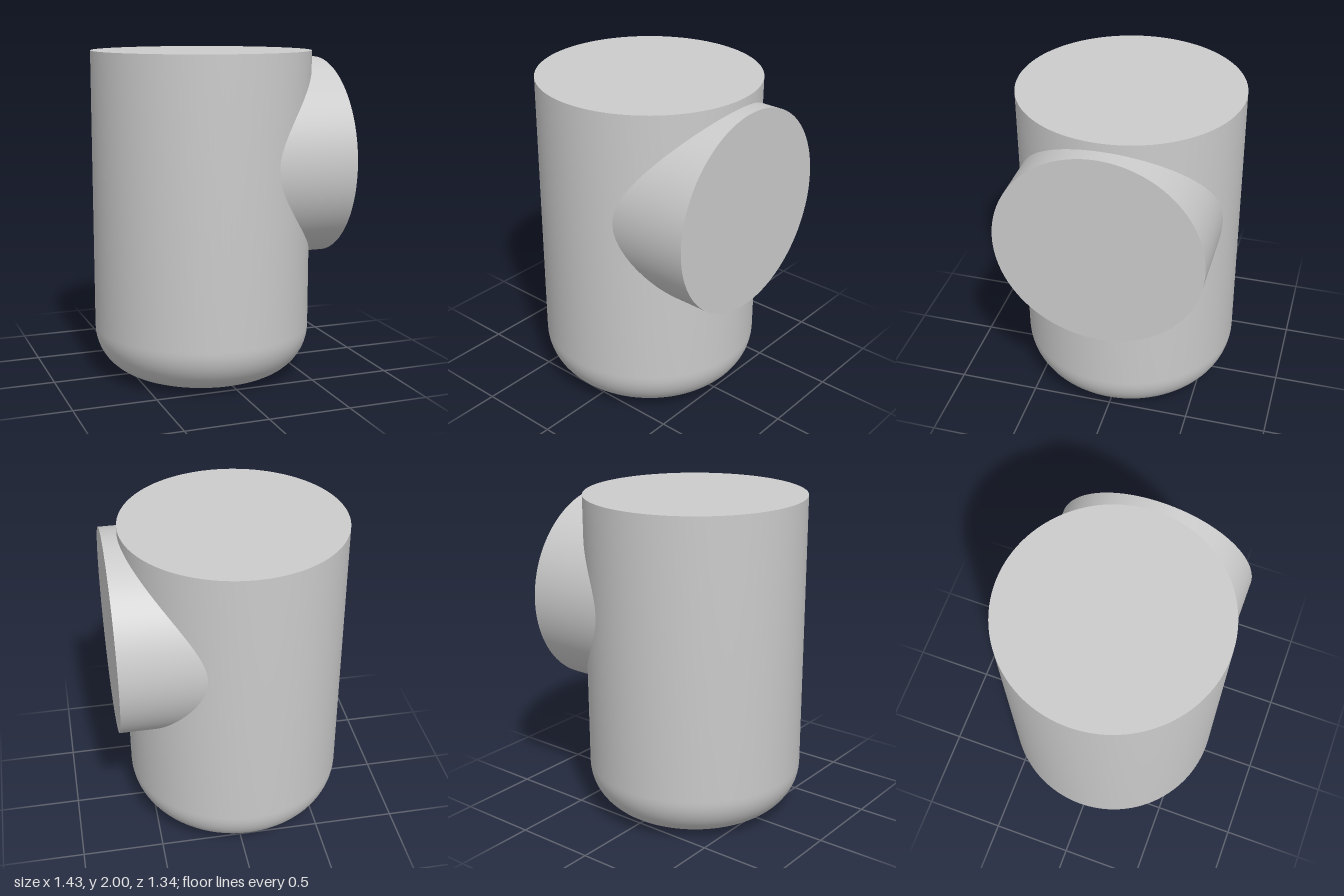
import * as THREE from 'three';
import { mergeGeometries, toCreasedNormals } from 'three/addons/utils/BufferGeometryUtils.js';

const BODY_R = 0.67, BODY_X = -0.045, HEIGHT = 2, FILLET = 0.295;
const BRANCH_R = 0.617, BRANCH_Y = 1.333, BRANCH_END = 0.715;
const SEGMENTS = 128;

// Upright cylinder with a rounded bottom edge and a flat top
function bodyGeometry() {
  const profile = [new THREE.Vector2(0, 0)];
  const steps = 14;
  for (let i = 0; i <= steps; i++) {
    const a = (i / steps) * Math.PI / 2;
    profile.push(new THREE.Vector2(
      BODY_R - FILLET + FILLET * Math.sin(a),
      FILLET - FILLET * Math.cos(a)
    ));
  }
  profile.push(new THREE.Vector2(BODY_R, HEIGHT), new THREE.Vector2(0, HEIGHT));
  return toCreasedNormals(new THREE.LatheGeometry(profile, SEGMENTS), 0.6);
}

// Sideways stub whose inner rim follows the curve of the body
function branchGeometry() {
  const wall = new THREE.CylinderGeometry(BRANCH_R, BRANCH_R, 1, SEGMENTS, 1, true);
  wall.rotateZ(-Math.PI / 2);
  const p = wall.attributes.position;
  for (let i = 0; i < p.count; i++) {
    const z = p.getZ(i);
    const seam = BODY_X + Math.sqrt(BODY_R ** 2 - z ** 2) - 0.01;
    p.setX(i, p.getX(i) > 0 ? BRANCH_END : seam);
  }
  const cap = new THREE.CircleGeometry(BRANCH_R, SEGMENTS);
  cap.rotateY(Math.PI / 2).translate(BRANCH_END, 0, 0);
  return mergeGeometries([wall, cap]).translate(0, BRANCH_Y, 0);
}

export function createModel() {
  const group = new THREE.Group();
  group.name = 'cylinderWithSideBranch';
  const material = new THREE.MeshStandardMaterial({ color: 0xcccccc });

  const body = new THREE.Mesh(bodyGeometry(), material);
  body.name = 'body';
  body.position.x = BODY_X;

  const branch = new THREE.Mesh(branchGeometry(), material);
  branch.name = 'sideBranch';

  group.add(body, branch);
  return group;
}
